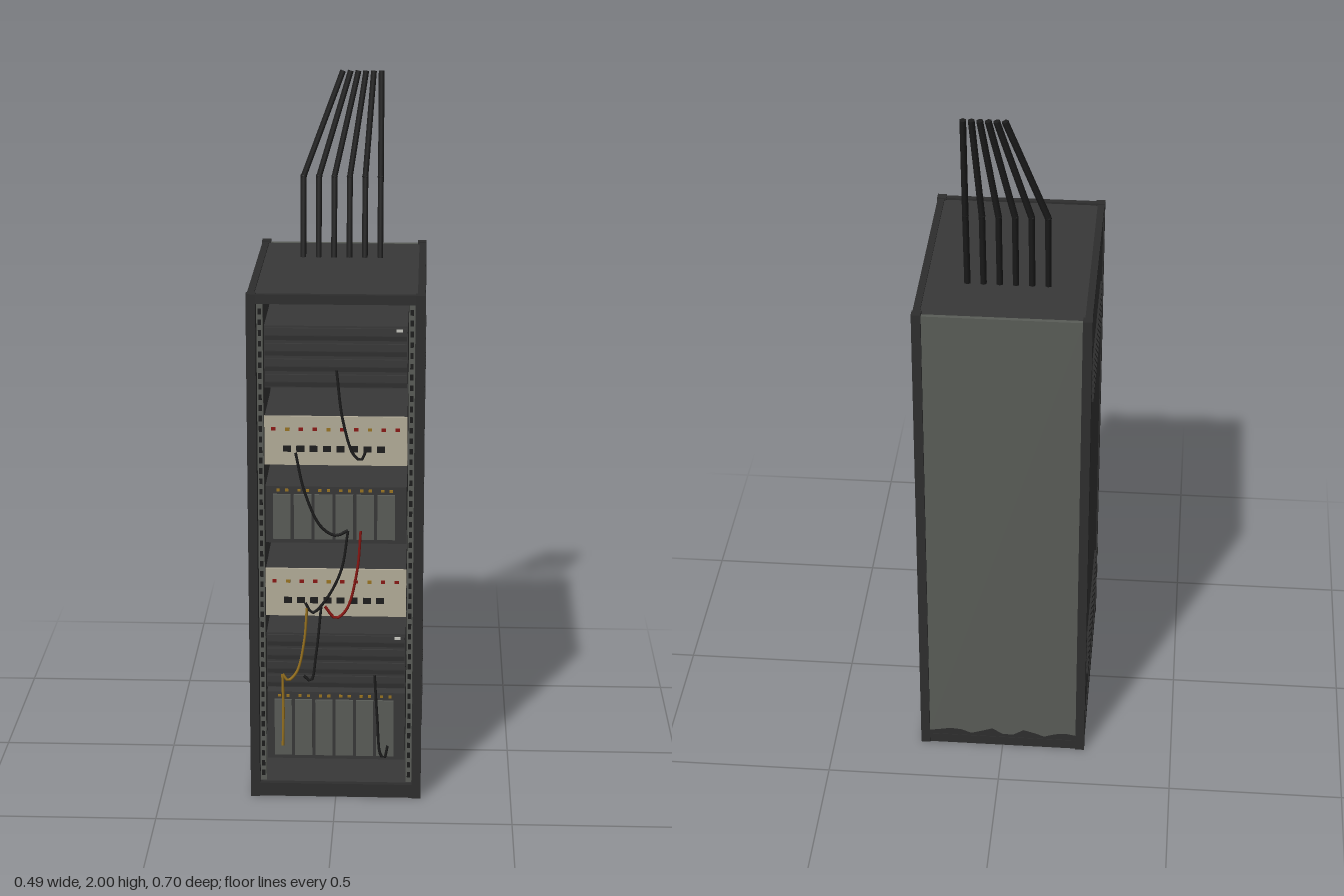
import * as THREE from 'three';

const mat = (name, color, side = THREE.FrontSide) => {
  const m = new THREE.MeshStandardMaterial({ color, side });
  m.name = name;
  return m;
};

export function createModel() {
  const root = new THREE.Group();
  root.name = 'equipmentRack';
  const frame = mat('frameCharcoal', 0x2e2e2e);
  const panel = mat('panelCharcoal', 0x383838);
  const grey = mat('panelGrey', 0x5a5d58);
  const beige = mat('faceplateBeige', 0xb5ae9a);
  const black = mat('rubberBlack', 0x1c1c1c);
  const red = mat('signalRed', 0x8a1612);
  const amber = mat('signalAmber', 0x9a7420);
  const pale = mat('indicatorPale', 0xc8c8c0);

  const group = (name, parent = root) => {
    const g = new THREE.Group();
    g.name = name;
    parent.add(g);
    return g;
  };
  // Box given by its extents on each axis
  const box = (name, m, x0, x1, y0, y1, z0, z1, parent = root) => {
    const b = new THREE.Mesh(new THREE.BoxGeometry(x1 - x0, y1 - y0, z1 - z0), m);
    b.position.set((x0 + x1) / 2, (y0 + y1) / 2, (z0 + z1) / 2);
    b.name = name;
    parent.add(b);
    return b;
  };

  // Cabinet shell
  const shell = group('cabinet');
  box('roof', panel, -0.222, 0.222, 1.455, 1.472, -0.33, 0.33, shell);
  box('floor', panel, -0.23, 0.23, 0.004, 0.03, -0.33, 0.33, shell);
  box('backPanel', grey, -0.22, 0.22, 0.03, 1.473, -0.343, -0.331, shell);
  box('backLining', panel, -0.22, 0.22, 0.03, 1.455, -0.331, -0.325, shell);
  box('backSill', frame, -0.22, 0.22, 0, 0.03, -0.346, -0.325, shell);
  box('frontHeader', frame, -0.22, 0.22, 1.452, 1.478, 0.322, 0.338, shell);
  box('frontSill', frame, -0.22, 0.22, 0, 0.04, 0.322, 0.338, shell);
  for (const s of [-1, 1]) {
    const side = (name, m, a, b, ...r) =>
      box(name, m, Math.min(s * a, s * b), Math.max(s * a, s * b), ...r, shell);
    side('sidePanel', panel, 0.224, 0.239, 0.03, 1.465, -0.33, 0.33);
    side('frontPost', frame, 0.217, 0.243, 0, 1.48, 0.318, 0.342);
    side('backPost', frame, 0.217, 0.243, 0, 1.48, -0.35, -0.324);
    side('sideTopRail', frame, 0.222, 0.2415, 1.462, 1.476, -0.326, 0.32);
    side('sideBottomRail', frame, 0.222, 0.2415, 0, 0.04, -0.326, 0.32);
    // Two banks of louvers
    for (const y of [0.19, 1.15])
      for (let i = 0; i < 6; i++)
        side('louver', frame, 0.238, 0.2445, y + i * 0.025, y + i * 0.025 + 0.008, -0.225, 0.215);
    // Perforated mounting rail
    side('mountingRail', grey, 0.199, 0.216, 0.04, 1.452, 0.305, 0.317);
    for (let i = 0; i < 46; i++)
      side('railHole', black, 0.203, 0.212, 0.055 + i * 0.0303, 0.071 + i * 0.0303, 0.316, 0.3185);
  }

  // Worn paint patches
  const patch = (name, m, pts, place) => {
    const p = new THREE.Mesh(new THREE.ShapeGeometry(
      new THREE.Shape(pts.map(([x, y]) => new THREE.Vector2(x, y)))), m);
    p.name = name;
    place(p);
    root.add(p);
  };
  const edge = [[-0.217, 0.03], [0.217, 0.03]];
  for (let i = 0; i <= 14; i++)
    edge.push([0.217 - i * 0.031, 0.048 + 0.009 * Math.sin(i * 1.7) + 0.004 * Math.sin(i * 4.1)]);
  patch('backGrime', frame, edge, p => { p.rotation.y = Math.PI; p.position.z = -0.3445; });
  patch('sideScuff', grey, [[0.3, 0.17], [0.315, 0.14], [0.34, 0.15], [0.34, 0.28], [0.325, 0.25], [0.32, 0.2]],
    p => { p.rotation.y = -Math.PI / 2; p.position.x = -0.2445; });
  for (const [z, y, w, h] of [[-0.18, 1.27, 0.045, 0.012], [-0.185, 1.245, 0.05, 0.005], [-0.19, 1.23, 0.05, 0.005],
    [-0.195, 1.21, 0.04, 0.005], [-0.2, 1.192, 0.02, 0.005], [-0.26, 0.645, 0.04, 0.026], [0.12, 0.303, 0.035, 0.008]])
    box('paintChip', grey, 0.238, 0.2397, y - h / 2, y + h / 2, z - w / 2, z + w / 2);

  // Rack units
  const unit = (name, y0, y1) => {
    const g = group(name);
    box('unitBody', panel, -0.196, 0.196, y0, y1, -0.2, 0.308, g);
    return g;
  };
  const ventUnit = (y0, y1) => {
    const g = unit('ventedUnit', y0, y1);
    const n = Math.round((y1 - y0) / 0.021);
    for (let i = 0; i < n; i++) {
      const y = y0 + (i + 0.2) * (y1 - y0) / n;
      box('ventSlat', i % 2 ? panel : frame, -0.194, 0.194, y, y + 0.012, 0.307, 0.315, g);
    }
    box('statusLight', pale, 0.165, 0.182, y1 - 0.014, y1 - 0.006, 0.308, 0.317, g);
  };
  const patchUnit = (y0, y1) => {
    const g = unit('patchUnit', y0, y1);
    box('faceplate', beige, -0.197, 0.197, y0, y1, 0.308, 0.315, g);
    for (let i = 0; i < 10; i++) {
      const x = -0.172 + i * 0.038;
      box('indicator', i % 3 === 1 ? amber : red, x - 0.006, x + 0.006, y1 - 0.041, y1 - 0.032, 0.314, 0.318, g);
    }
    for (let i = 0; i < 8; i++) {
      const x = -0.135 + i * 0.037;
      box('socket', black, x - 0.011, x + 0.011, y0 + 0.039, y0 + 0.056, 0.314, 0.319, g);
    }
  };
  const cardUnit = (y0, y1) => {
    const g = unit('cardCage', y0, y1);
    for (let i = 0; i < 6; i++) {
      const x = -0.175 + i * 0.058;
      box('card', grey, x, x + 0.049, y0 + 0.013, y1 - 0.022, 0.308, 0.315, g);
      for (const dx of [0.01, 0.034])
        box('cardLight', amber, x + dx, x + dx + 0.009, y1 - 0.014, y1 - 0.007, 0.307, 0.312, g);
    }
  };
  ventUnit(1.21, 1.385);
  patchUnit(0.99, 1.13);
  cardUnit(0.76, 0.925);
  patchUnit(0.545, 0.685);
  ventUnit(0.325, 0.49);
  cardUnit(0.105, 0.31);

  // Patch cords hanging across the front
  const cords = group('patchCords');
  const cord = (m, pts) => {
    const curve = new THREE.CatmullRomCurve3(pts.map(([x, y]) => new THREE.Vector3(x, y, 0.343)));
    const t = new THREE.Mesh(new THREE.TubeGeometry(curve, 24, 0.0042, 6), m);
    t.name = 'patchCord';
    cords.add(t);
  };
  cord(black, [[0.003, 1.27], [0.02, 1.13], [0.05, 1.03], [0.07, 1.015], [0.083, 1.04]]);
  cord(black, [[-0.11, 1.035], [-0.085, 0.92], [-0.04, 0.82], [0, 0.795], [0.035, 0.81]]);
  cord(red, [[0.07, 0.81], [0.06, 0.69], [0.03, 0.575], [0, 0.55], [-0.03, 0.585]]);
  cord(black, [[0.035, 0.81], [0.015, 0.69], [-0.03, 0.6], [-0.065, 0.565], [-0.085, 0.595]]);
  cord(black, [[-0.04, 0.585], [-0.055, 0.44], [-0.07, 0.36], [-0.09, 0.375]]);
  cord(amber, [[-0.08, 0.58], [-0.088, 0.48], [-0.11, 0.385], [-0.135, 0.36], [-0.15, 0.38]]);
  cord(amber, [[-0.15, 0.38], [-0.148, 0.27], [-0.15, 0.16]]);
  cord(black, [[0.11, 0.38], [0.118, 0.25], [0.128, 0.135], [0.138, 0.125], [0.148, 0.165]]);

  // Feed cables rising from the roof and gathering together
  const feeds = group('feedCables');
  for (let i = 0; i < 6; i++) {
    const x0 = -0.112 + i * 0.0444, x1 = i * 0.022;
    const pts = [[x0, 1.46, -0.148], [x0, 1.7, -0.186], [x1, 1.999, -0.224]].map(p => new THREE.Vector3(...p));
    for (let k = 0; k < 2; k++) {
      const d = pts[k + 1].clone().sub(pts[k]);
      const c = new THREE.Mesh(new THREE.CylinderGeometry(0.0095, 0.0095, d.length(), 6), black);
      c.position.copy(pts[k]).addScaledVector(d, 0.5);
      c.quaternion.setFromUnitVectors(new THREE.Vector3(0, 1, 0), d.normalize());
      c.name = 'feedCable';
      feeds.add(c);
    }
    const bend = new THREE.Mesh(new THREE.SphereGeometry(0.0095, 8, 6), black);
    bend.position.copy(pts[1]);
    bend.name = 'cableBend';
    feeds.add(bend);
  }
  return root;
}
